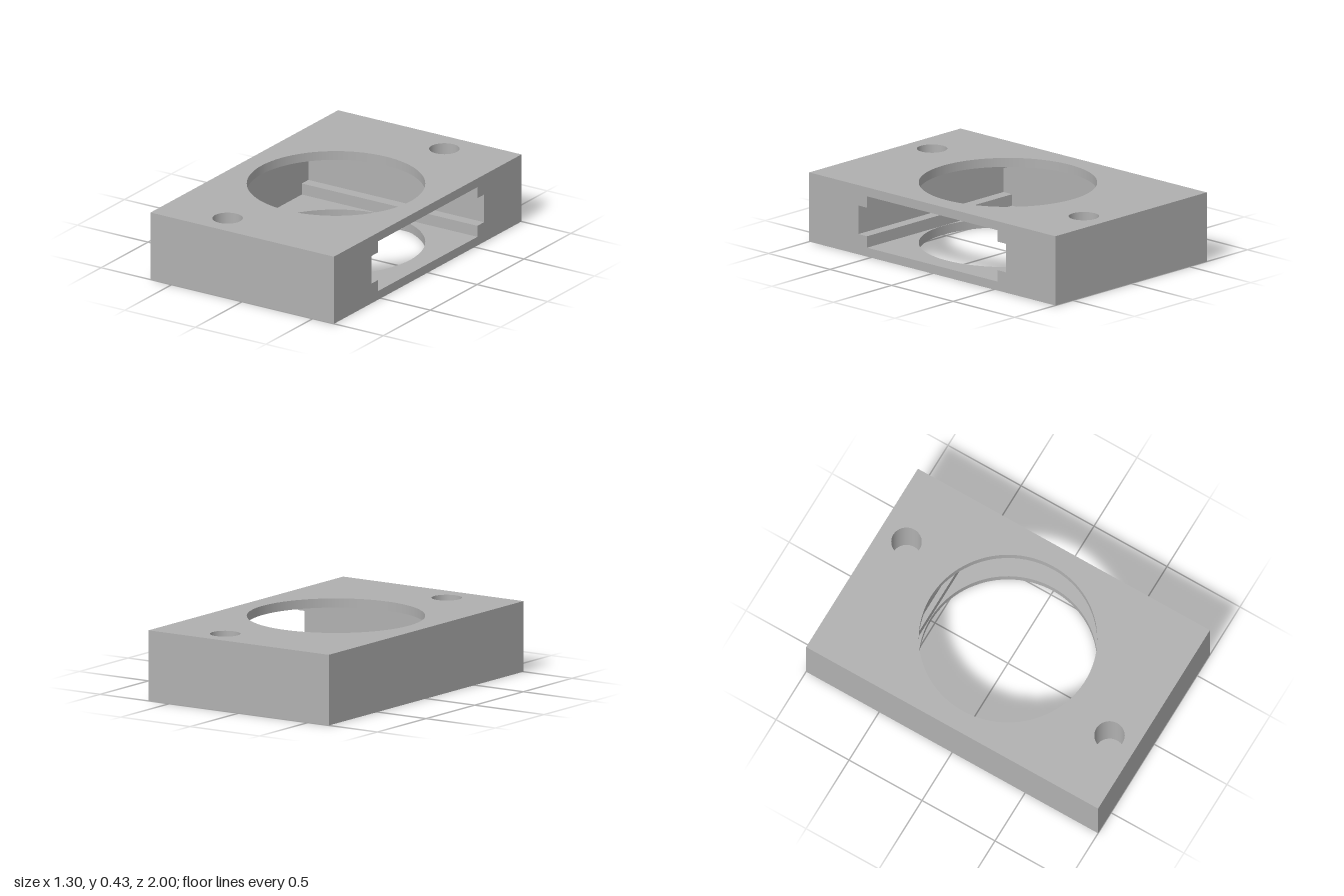
import * as THREE from 'three';

const X = 0.65, Z = 1, H = 0.425;            // block half width, half length, height
const R = 0.527, r = 0.09;                   // large opening and small blind hole radii
const DEPTH = 0.3;                           // blind hole depth
const WALL = -0.595;                         // closed end of the slot
const FLOOR = 0.055, CEIL = 0.37;            // slot floor and ceiling
const SLOT = 0.53;                           // slot half width

// Slot cross-section as [z, y]: up the stepped front side, down the mirrored back side
const side = [[SLOT, FLOOR], [SLOT, 0.125], [0.6, 0.125], [0.6, 0.3], [SLOT, 0.3], [SLOT, CEIL]];
const slotProfile = [side, side.map(([z, y]) => [-z, y]).reverse()];

function rect(x0, x1, y0, y1) {
  return new THREE.Shape([[x0, y0], [x1, y0], [x1, y1], [x0, y1]].map(p => new THREE.Vector2(...p)));
}

function cut(shape, x, y, radius) {
  shape.holes.push(new THREE.Path().absarc(x, y, radius, 0, Math.PI * 2, true));
  return shape;
}

export function createModel() {
  const model = new THREE.Group();
  model.name = 'slottedBlock';
  const grey = new THREE.MeshStandardMaterial({ color: 0xb0b0b0, side: THREE.DoubleSide });
  grey.name = 'grey';

  function add(name, geometry, x = 0, y = 0, z = 0) {
    const mesh = new THREE.Mesh(geometry, grey);
    mesh.name = name;
    mesh.position.set(x, y, z);
    model.add(mesh);
  }
  const flat = shape => new THREE.ShapeGeometry(shape, 48);
  const up = shape => flat(shape).rotateX(-Math.PI / 2);
  const down = shape => flat(shape).rotateX(Math.PI / 2);

  // Top and bottom faces: a large opening and two diagonal blind holes each
  const plate = () => {
    const s = cut(rect(-X, X, -Z, Z), 0, 0, R);
    cut(s, 0.22, 0.825, r);
    return cut(s, -0.22, -0.825, r);
  };
  add('topFace', up(plate()), 0, H);
  add('bottomFace', down(plate()));

  // Outer walls
  add('frontWall', new THREE.PlaneGeometry(2 * X, H), 0, H / 2, Z);
  add('backWall', new THREE.PlaneGeometry(2 * X, H).rotateY(Math.PI), 0, H / 2, -Z);
  add('rightWall', new THREE.PlaneGeometry(2 * Z, H).rotateY(-Math.PI / 2), -X, H / 2);

  // Open wall with the stepped slot mouth, and the closed slot end
  const outline = slotProfile.flat().map(([z, y]) => new THREE.Vector2(z, y));
  const mouth = rect(-Z, Z, 0, H);
  mouth.holes.push(new THREE.Path(outline));
  add('slottedWall', flat(mouth).rotateY(Math.PI / 2), X);
  add('slotEnd', flat(new THREE.Shape(outline)).rotateY(Math.PI / 2), WALL);

  // Slot floor and ceiling, pierced by the large opening
  const inner = () => cut(rect(WALL, X, -SLOT, SLOT), 0, 0, R);
  add('slotFloor', up(inner()), 0, FLOOR);
  add('slotCeiling', down(inner()), 0, CEIL);

  // Stepped slot sides with their grooves
  slotProfile.forEach((path, k) => {
    const pos = [];
    for (let i = 0; i + 1 < path.length; i++) {
      const [z0, y0] = path[i], [z1, y1] = path[i + 1];
      const a = [WALL, y0, z0], b = [WALL, y1, z1], c = [X, y1, z1], d = [X, y0, z0];
      pos.push(...a, ...b, ...c, ...a, ...c, ...d);
    }
    const g = new THREE.BufferGeometry();
    g.setAttribute('position', new THREE.Float32BufferAttribute(pos, 3));
    g.computeVertexNormals();
    add(k ? 'backGroove' : 'frontGroove', g);
  });

  // Round walls seen from inside: flip a tube so its faces point inward
  const bore = (radius, height) => {
    const g = new THREE.CylinderGeometry(radius, radius, height, 96, 1, true);
    g.index.array.reverse();
    const n = g.attributes.normal;
    for (let i = 0; i < n.count; i++) n.setXYZ(i, -n.getX(i), -n.getY(i), -n.getZ(i));
    return g;
  };
  add('topRim', bore(R, H - CEIL), 0, (H + CEIL) / 2);
  add('bottomRim', bore(R, FLOOR), 0, FLOOR / 2);

  // Blind holes: one diagonal pair above, the mirrored pair below
  for (const s of [1, -1]) {
    const x = 0.22 * s, z = 0.825 * s;
    add('topHole', bore(r, DEPTH), x, H - DEPTH / 2, -z);
    add('topHoleEnd', new THREE.CircleGeometry(r, 96).rotateX(-Math.PI / 2), x, H - DEPTH, -z);
    add('bottomHole', bore(r, DEPTH), x, DEPTH / 2, z);
    add('bottomHoleEnd', new THREE.CircleGeometry(r, 96).rotateX(Math.PI / 2), x, DEPTH, z);
  }
  return model;
}
